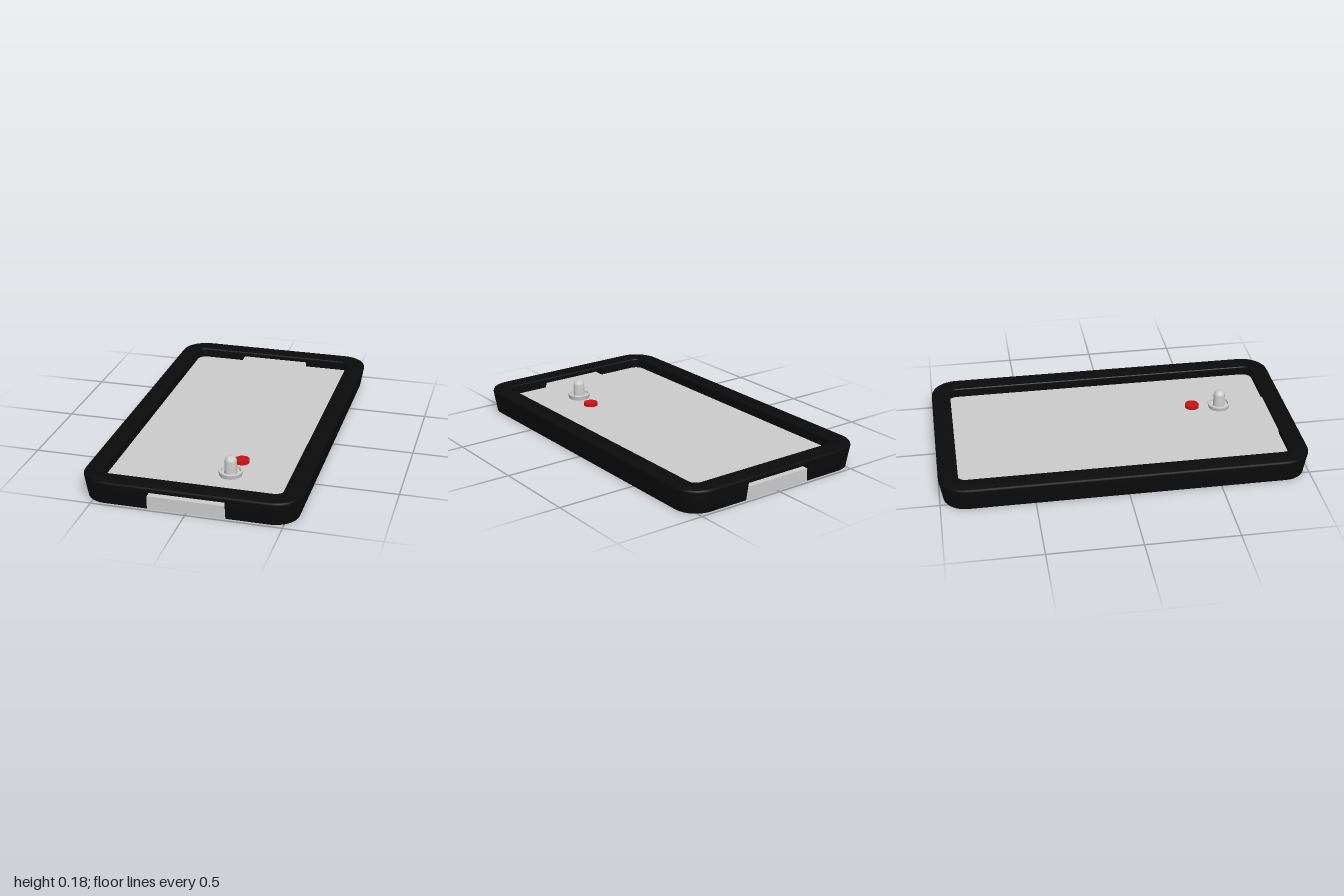
import * as THREE from 'three';
import { toCreasedNormals } from 'three/addons/utils/BufferGeometryUtils.js';

const CX = 0.43, CZ = 0.855;   // corner centres shared by frame and bed
const GOAL = 0.205, GOAL_TOP = 0.1, BED = 0.07;

const grey = new THREE.MeshStandardMaterial({ color: 0xcccccc });
const black = new THREE.MeshStandardMaterial({ color: 0x0b0b0b });
const red = new THREE.MeshStandardMaterial({ color: 0xcc1212 });

function part(name, geometry, material) {
  const mesh = new THREE.Mesh(geometry, material);
  mesh.name = name;
  return mesh;
}

// Rail section [distance from corner centre, height] swept round the table;
// over each goal its underside is lifted to leave a slot.
function frameGeometry() {
  const top = [[0.145, 0.116], [0.1435, 0.123], [0.1405, 0.128], [0.135, 0.13],
    [0.048, 0.13], [0.0435, 0.129], [0.041, 0.126], [0.04, 0.122]];
  const full = [[0.125, 0], ...top, [0.07, 0]];
  const raised = [[0.1425, GOAL_TOP], ...top, [0.0455, GOAL_TOP]];

  const stations = [];
  const station = (x, z, t, section) => stations.push(section.map(([r, y]) =>
    [x + Math.cos(t) * r, y, z + Math.sin(t) * r]));
  const steps = 12;
  [[1, 1], [-1, 1], [-1, -1], [1, -1]].forEach(([sx, sz], q) => {
    for (let i = 0; i <= steps; i++) {
      station(sx * CX, sz * CZ, (q + i / steps) * Math.PI / 2, full);
    }
    // goal slot after the first and third corners
    if (q % 2 === 0) {
      const t = sz * Math.PI / 2;
      station(sx * GOAL, sz * CZ, t, full);
      station(sx * GOAL, sz * CZ, t, raised);
      station(-sx * GOAL, sz * CZ, t, raised);
      station(-sx * GOAL, sz * CZ, t, full);
    }
  });

  const positions = [];
  const same = (p, q) => p.every((v, k) => Math.abs(v - q[k]) < 1e-6);
  const triangle = (a, b, c) => {
    if (!same(a, b) && !same(b, c) && !same(a, c)) positions.push(...a, ...b, ...c);
  };
  stations.forEach((s, j) => {
    const n = stations[(j + 1) % stations.length];
    s.forEach((a, i) => {
      const k = (i + 1) % s.length;
      triangle(a, s[k], n[k]);
      triangle(a, n[k], n[i]);
    });
  });
  const geometry = new THREE.BufferGeometry();
  geometry.setAttribute('position', new THREE.Float32BufferAttribute(positions, 3));
  return toCreasedNormals(geometry, 0.6);
}

// Playing bed: rounded rectangle with a tongue through each goal
function bedGeometry() {
  const r = 0.07, end = 0.98, z = CZ + r;
  const shape = new THREE.Shape();
  shape.moveTo(CX + r, -CZ);
  shape.absarc(CX, CZ, r, 0, Math.PI / 2);
  shape.lineTo(GOAL, z);
  shape.lineTo(GOAL, end);
  shape.lineTo(-GOAL, end);
  shape.lineTo(-GOAL, z);
  shape.absarc(-CX, CZ, r, Math.PI / 2, Math.PI);
  shape.absarc(-CX, -CZ, r, Math.PI, Math.PI * 1.5);
  shape.lineTo(-GOAL, -z);
  shape.lineTo(-GOAL, -end);
  shape.lineTo(GOAL, -end);
  shape.lineTo(GOAL, -z);
  shape.absarc(CX, -CZ, r, Math.PI * 1.5, Math.PI * 2);
  return new THREE.ExtrudeGeometry(shape, { depth: BED, bevelEnabled: false, curveSegments: 8 })
    .rotateX(-Math.PI / 2);
}

// Striker: dished base with a round-topped knob
function strikerGeometry() {
  const points = [[0, 0], [0.06, 0], [0.065, 0.024], [0.063, 0.028], [0.054, 0.028],
    [0.05, 0.014], [0.034, 0.012], [0.032, 0.08]];
  for (let i = 1; i <= 8; i++) {
    const a = i / 8 * Math.PI / 2;
    points.push([0.032 * Math.cos(a), 0.08 + 0.028 * Math.sin(a)]);
  }
  const profile = points.map(([x, y]) => new THREE.Vector2(Math.max(x, 0), y));
  return toCreasedNormals(new THREE.LatheGeometry(profile, 32), 0.6);
}

export function createModel() {
  const model = new THREE.Group();
  model.name = 'airHockeyTable';

  model.add(part('frame', frameGeometry(), black));
  model.add(part('playingBed', bedGeometry(), grey));

  const striker = part('striker', strikerGeometry(), grey);
  striker.position.set(0.14, BED, 0.64);
  model.add(striker);

  const puck = part('puck', new THREE.CylinderGeometry(0.04, 0.04, 0.018, 32), red);
  puck.position.set(0.16, BED + 0.009, 0.485);
  model.add(puck);

  return model;
}
